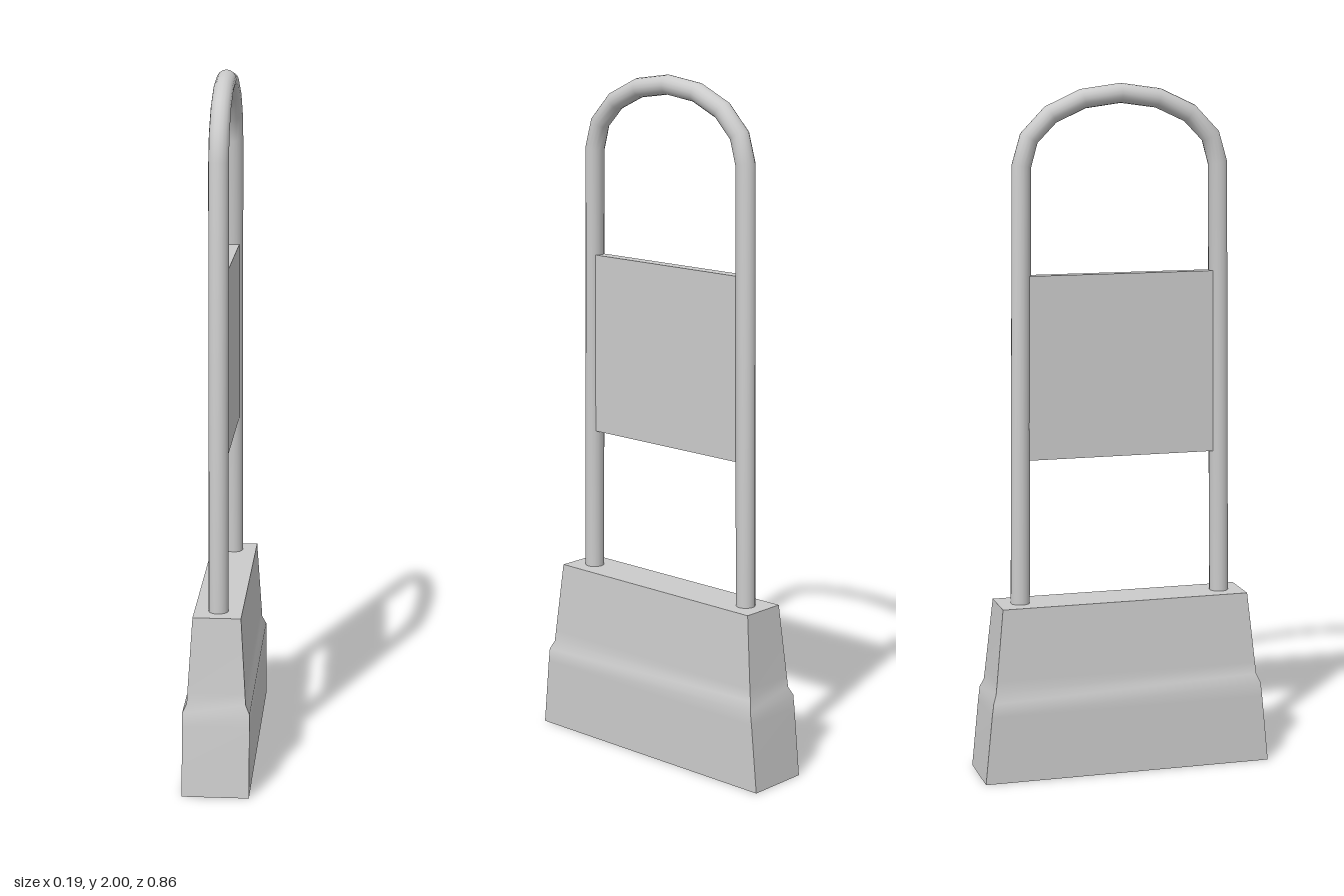
import * as THREE from 'three';
import { toCreasedNormals } from 'three/addons/utils/BufferGeometryUtils.js';

const material = new THREE.MeshStandardMaterial({ color: 0xcccccc });

function part(name, geometry) {
  const mesh = new THREE.Mesh(geometry, material);
  mesh.name = name;
  return mesh;
}

// Path through given points, one tube ring per point, mitred at each corner
class PolylineCurve extends THREE.Curve {
  constructor(points) {
    super();
    this.points = points;
  }
  getPointAt(u) {
    return this.points[Math.round(u * (this.points.length - 1))].clone();
  }
  getTangentAt(u) {
    const p = this.points, last = p.length - 1, i = Math.round(u * last);
    const tangent = new THREE.Vector3();
    if (i > 0) tangent.add(p[i].clone().sub(p[i - 1]).normalize());
    if (i < last) tangent.add(p[i + 1].clone().sub(p[i]).normalize());
    return tangent.normalize();
  }
}

// Plinth: a box whose rows follow a stepped, tapering profile
function plinthGeometry() {
  // [height, half width, half depth] from bottom to top
  const rows = [
    [0, 0.095, 0.43], [0.2, 0.095, 0.41], [0.24, 0.095, 0.405],
    [0.265, 0.083, 0.395], [0.3, 0.081, 0.391], [0.51, 0.068, 0.369],
  ];
  const steps = rows.length - 1;
  const geometry = new THREE.BoxGeometry(2, steps, 2, 1, steps, 1);
  const pos = geometry.attributes.position;
  for (let i = 0; i < pos.count; i++) {
    const [y, hx, hz] = rows[Math.round(pos.getY(i) + steps / 2)];
    pos.setXYZ(i, pos.getX(i) * hx, y, pos.getZ(i) * hz);
  }
  return toCreasedNormals(geometry, 0.8);
}

// Hoop: two slightly leaning legs joined by a half-ellipse arch
function hoopGeometry() {
  const points = [new THREE.Vector3(0, 0.46, 0.303)];
  const segments = 8;
  for (let i = 0; i <= segments; i++) {
    const a = (i / segments) * Math.PI;
    points.push(new THREE.Vector3(0, 1.772 + 0.2 * Math.sin(a), 0.289 * Math.cos(a)));
  }
  points.push(new THREE.Vector3(0, 0.46, -0.303));
  return new THREE.TubeGeometry(new PolylineCurve(points), points.length - 1, 0.028, 16);
}

export function createModel() {
  const group = new THREE.Group();
  group.name = 'hoopBarrier';

  group.add(part('plinth', plinthGeometry()));
  group.add(part('hoop', hoopGeometry()));

  // Flat panel fixed between the legs
  const panel = part('panel', new THREE.BoxGeometry(0.036, 0.53, 0.552));
  panel.position.y = 1.197;
  group.add(panel);

  return group;
}
